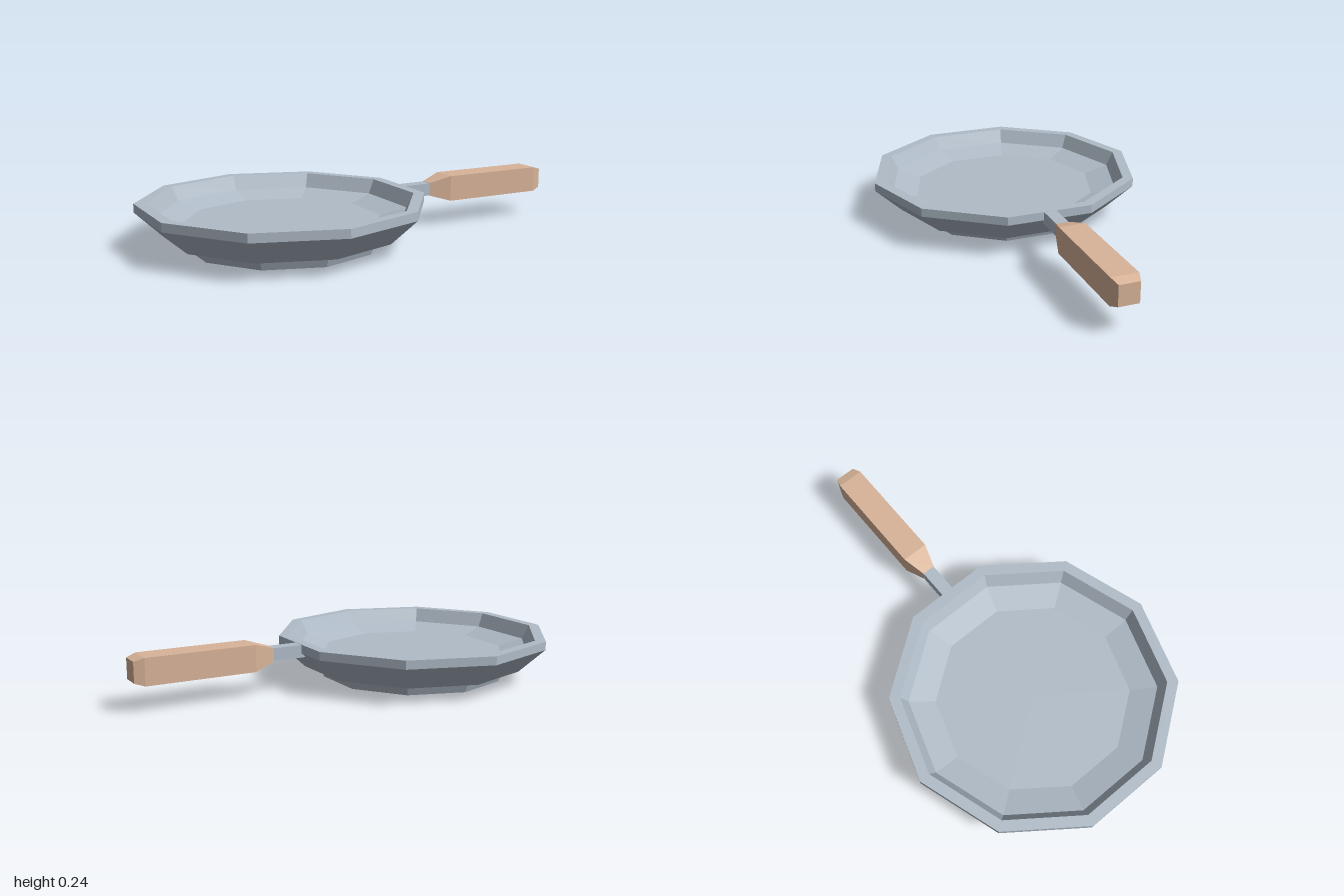
import * as THREE from 'three';

const steel = new THREE.MeshStandardMaterial({ color: 0xb0bcc8, flatShading: true });
const wood = new THREE.MeshStandardMaterial({ color: 0xd9b499, flatShading: true });

// Faceted solid of revolution from [radius, height] pairs
function facetedLathe(profile, sides, phiStart = 0) {
  const points = profile.map(([r, y]) => new THREE.Vector2(r, y));
  return new THREE.LatheGeometry(points, sides, phiStart);
}

function addPart(group, name, geometry, material, x, y) {
  const mesh = new THREE.Mesh(geometry, material);
  mesh.name = name;
  mesh.position.set(x, y, 0);
  group.add(mesh);
}

export function createModel() {
  const group = new THREE.Group();
  group.name = 'fryingPan';

  // Ten-sided pan: foot, ledge, flared wall, flat rim, then the hollow inside
  const panProfile = [
    [0, 0], [0.43, 0], [0.453, 0.055], [0.522, 0.055],
    [0.643, 0.168], [0.643, 0.207], [0.593, 0.207],
    [0.56, 0.142], [0.44, 0.112], [0, 0.112],
  ];
  addPart(group, 'pan', facetedLathe(panProfile, 10), steel, -0.389, 0);

  // Metal neck joining the rim to the grip
  addPart(group, 'neck', new THREE.BoxGeometry(0.21, 0.058, 0.058), steel, 0.295, 0.177);

  // Square wooden grip, tapered at both ends; profile uses half-widths
  const gripProfile = [[0, 0.36], [0.03, 0.36], [0.06, 0.46], [0.06, 0.957], [0.046, 1], [0, 1]]
    .map(([half, x]) => [half * Math.SQRT2, x]);
  const grip = facetedLathe(gripProfile, 4, Math.PI / 4).rotateZ(-Math.PI / 2);
  addPart(group, 'grip', grip, wood, 0, 0.177);

  return group;
}
